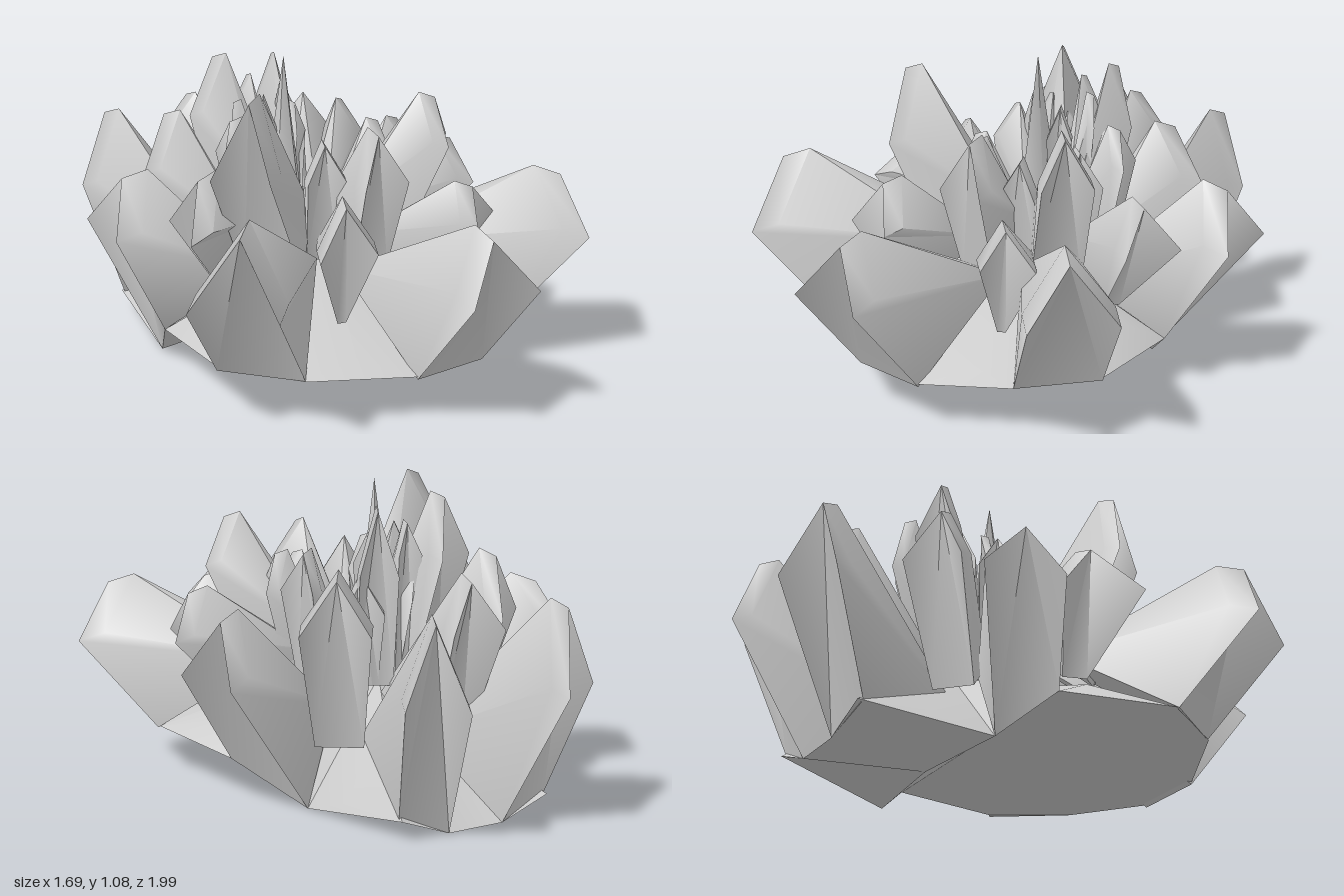
import * as THREE from 'three';
import { toCreasedNormals } from 'three/addons/utils/BufferGeometryUtils.js';

const V = (x, y, z) => new THREE.Vector3(x, y, z);
const material = new THREE.MeshStandardMaterial({ color: 0xcccccc, side: THREE.DoubleSide });
const heart = V(0.02, 0, -0.07);

// Thick five-sided petal: left and right tip corners, corner and apex heights,
// centre of the outer base edge, base width factor, or half the base edge as a vector.
function petalGeometry([lx, lz, rx, rz, yc, ya, bx, bz, yb, taper = 1, edge]) {
  const L = V(lx, yc, lz), R = V(rx, yc, rz), B = V(bx, yb, bz);
  const mid = L.clone().add(R).multiplyScalar(0.5);
  const out = V(mid.x - bx, 0, mid.z - bz).normalize();
  const across = R.clone().sub(L).multiplyScalar(0.5 * taper);
  const half = edge ? V(...edge) : across;
  const w = L.distanceTo(R);
  const thick = out.clone().multiplyScalar(-0.32 * w).setY(0.11 * w);
  const apex = mid.clone().addScaledVector(out, -0.27 * w).setY(ya - 0.11 * w);
  // the inner face runs far in towards the heart and rises as it goes
  const root = B.clone().lerp(heart, 0.58).setY(yb + 0.88 * w);
  const outer = [apex, L, B.clone().sub(half), B.clone().add(half), R];
  const inner = outer.map((p) => p.clone().add(thick));
  inner[2] = root.clone().addScaledVector(across, -0.7);
  inner[3] = root.clone().addScaledVector(across, 0.7);
  const index = [];
  for (let i = 1; i < 4; i++) index.push(0, i, i + 1, 5, 6 + i, 5 + i);
  for (let i = 0; i < 5; i++) {
    const j = (i + 1) % 5;
    index.push(i, i + 5, j, j, i + 5, j + 5);
  }
  const g = new THREE.BufferGeometry().setFromPoints([...outer, ...inner]);
  g.setIndex(index);
  return toCreasedNormals(g, 1.1);
}

const outerPetals = [
  [-0.11, 0.99, 0.175, 0.99, 0.48, 0.69, 0.035, 0.72, 0.15],
  [0.67, 0.72, 0.84, 0.47, 0.48, 0.70, 0.53, 0.42, 0.17],
  [-0.85, 0.47, -0.67, 0.72, 0.48, 0.75, -0.53, 0.42, 0.17],
  [0.74, -0.2, 0.69, -0.47, 0.5, 0.72, 0.43, -0.22, 0.08, 0.9, [-0.1, -0.08, -0.09]],
  [-0.65, -0.47, -0.7, -0.19, 0.5, 0.72, -0.5, -0.22, 0.08, 0.9, [-0.05, 0.08, 0.09]],
  [0.29, -0.88, 0.12, -1.0, 0.48, 0.77, 0.13, -0.74, 0.035, 1, [-0.09, -0.035, -0.01]],
  [-0.25, -1.0, -0.43, -0.88, 0.48, 0.77, -0.26, -0.74, 0.035, 1, [-0.09, 0.035, 0.01]],
];

const middlePetals = [
  [0.03, -0.75, -0.17, -0.75, 0.66, 0.84, -0.07, -0.55, 0.18, 0.6],
  [0.61, 0.18, 0.68, -0.02, 0.56, 0.73, 0.42, 0.03, 0.3, 0.3],
  [-0.54, -0.1, -0.63, 0.17, 0.57, 0.77, -0.4, 0.03, 0.3, 0.3],
  [0.3, 0.55, 0.47, 0.45, 0.54, 0.69, 0.27, 0.42, 0.28, 0.15],
  [-0.36, 0.52, -0.15, 0.56, 0.55, 0.73, -0.2, 0.43, 0.28, 0.15],
  [-0.06, 0.38, 0.13, 0.38, 0.7, 0.89, 0.035, 0.29, 0.38, 0.8],
  [0.36, 0.32, 0.47, 0.18, 0.77, 0.95, 0.27, 0.15, 0.38],
  [-0.53, 0.14, -0.4, 0.3, 0.77, 1.05, -0.28, 0.15, 0.38],
  [0.43, -0.44, 0.23, -0.57, 0.64, 0.84, 0.24, -0.37, 0.22, 0.7],
  [-0.28, -0.57, -0.43, -0.43, 0.64, 0.86, -0.28, -0.37, 0.22, 0.7],
  [-0.12, -0.44, -0.27, -0.37, 0.84, 1.06, -0.13, -0.31, 0.4],
  [0.16, -0.37, 0.05, -0.44, 0.8, 1.03, 0.07, -0.31, 0.4],
];

// Ring of small petals around a centre, with alternating heights
function ring(cx, cz, n, r, width, yc, ya, rBase, yb, phase) {
  return Array.from({ length: n }, (_, i) => {
    const a = phase + (i / n) * Math.PI * 2;
    const s = Math.sin(a), c = Math.cos(a), h = width / 2;
    const lift = (i % 3) * 0.035;
    return [cx + s * r - c * h, cz + c * r + s * h, cx + s * r + c * h, cz + c * r - s * h,
      yc + lift, ya + lift, cx + s * rBase, cz + c * rBase, yb, 0.8];
  });
}

// Scalloped shell: the rim repeats corner, corner, notch. The upper side includes
// the notches; the underside spans the corners, with a small facet under each notch.
function shellGeometry(rim, top, bottom) {
  const n = rim.length;
  const g = new THREE.BufferGeometry().setFromPoints([...rim, top, bottom].map((p) => V(...p)));
  const index = [];
  for (let i = 0; i < n; i++) index.push(i, (i + 1) % n, n);
  for (let i = 0; i < n; i += 3) {
    const next = (i + 3) % n;
    index.push(i + 1, i, n + 1, next, i + 1, n + 1, next, i + 2, i + 1);
  }
  g.setIndex(index);
  return toCreasedNormals(g, 0.5);
}

export function createModel() {
  const model = new THREE.Group();
  const addMesh = (parent, name, geometry) => {
    const mesh = new THREE.Mesh(geometry, material);
    mesh.name = name;
    parent.add(mesh);
    return mesh;
  };
  const addPetals = (name, rows) => {
    const group = new THREE.Group();
    group.name = name;
    rows.forEach((row) => addMesh(group, 'petal', petalGeometry(row)));
    model.add(group);
  };
  addPetals('outerPetals', outerPetals);
  addPetals('middlePetals', middlePetals);
  addPetals('innerPetals', ring(0.02, -0.07, 8, 0.31, 0.14, 0.66, 0.8, 0.24, 0.4, 0.4));
  addPetals('heartPetals', ring(-0.04, -0.23, 5, 0.14, 0.09, 0.78, 0.9, 0.1, 0.42, 0.6));

  // Front and side base, notched between the petals
  addMesh(model, 'base', shellGeometry([
    [-0.11, 0.16, 0.72], [0.18, 0.16, 0.72], [0.3, 0.21, 0.57],
    [0.44, 0.17, 0.55], [0.61, 0.175, 0.29], [0.47, 0.25, 0.03],
    [0.53, 0.16, -0.13], [-0.55, 0.16, -0.13], [-0.47, 0.25, 0.03],
    [-0.61, 0.175, 0.29], [-0.44, 0.17, 0.55], [-0.24, 0.21, 0.57],
  ], [0.02, 0.42, 0.02], [0.02, 0.145, 0.15]));
  // Lower rear base that carries the back petals
  addMesh(model, 'rearBase', shellGeometry([
    [0.53, 0.16, -0.13], [0.33, 0, -0.31], [0.27, 0.07, -0.5],
    [0.22, 0.07, -0.75], [0.04, 0, -0.75], [-0.07, 0.1, -0.62],
    [-0.17, 0, -0.75], [-0.35, 0.07, -0.75], [-0.38, 0.07, -0.5],
    [-0.45, 0, -0.31], [-0.55, 0.16, -0.13], [0, 0.145, -0.15],
  ], [0, 0.4, -0.22], [-0.06, 0, -0.35]));

  // Pointed bud rising from the heart
  const bud = addMesh(model, 'bud', new THREE.ConeGeometry(0.07, 0.62, 5));
  bud.position.set(-0.05, 0.77, -0.1);
  bud.scale.z = 1.6;
  return model;
}
